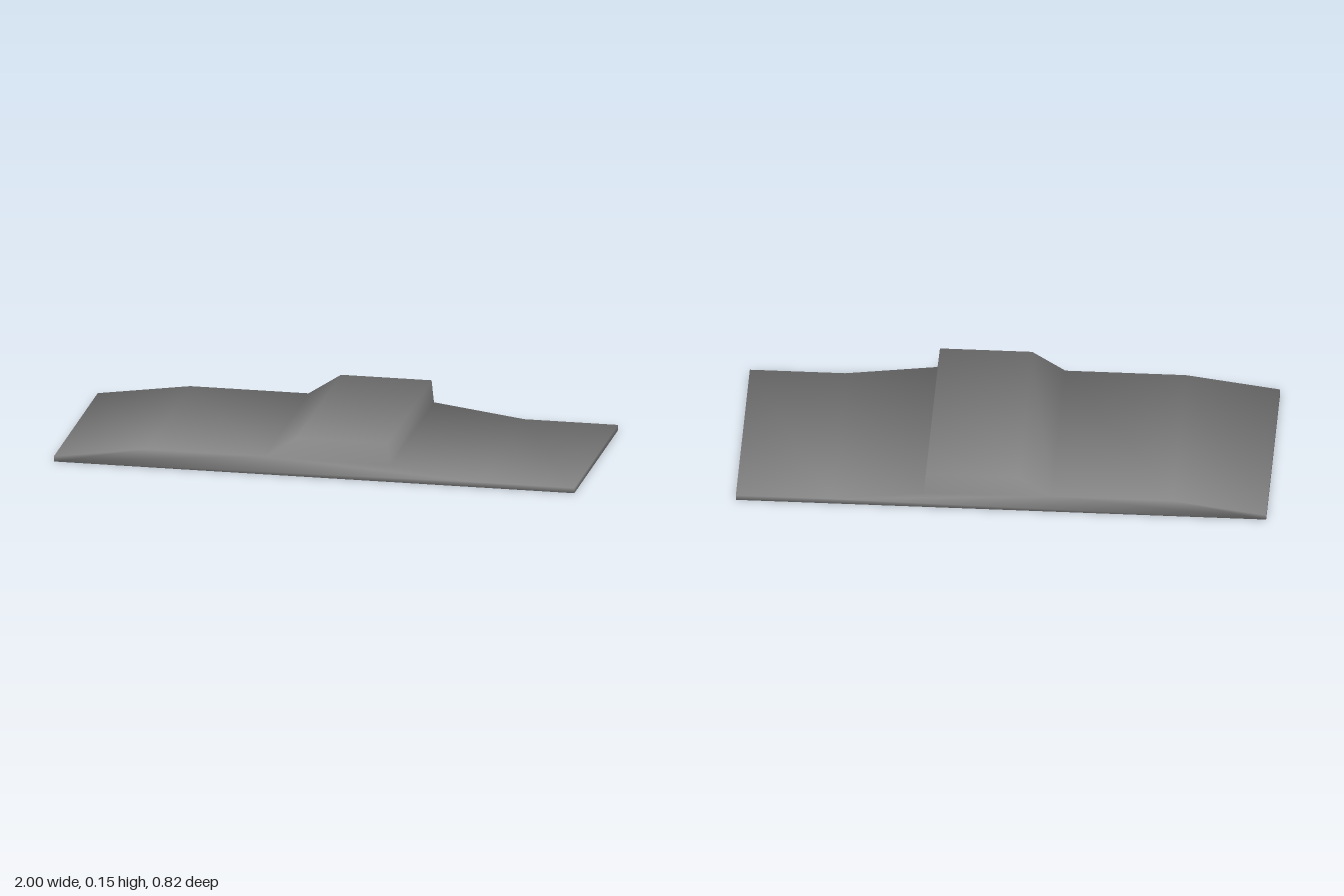
import * as THREE from 'three';
import { mergeVertices } from 'three/addons/utils/BufferGeometryUtils.js';

const WIDTH = 0.82;

// Side outline: low nose, raised cabin block, sloping tail
const OUTLINE = [
  [-1, 0], [1, 0], [1, 0.02], [0.64, 0.02], [0.292, 0.065],
  [0.283, 0.151], [-0.065, 0.151], [-0.19, 0.07], [-0.645, 0.07], [-1, 0.02],
];

// Smooth normals, each face counting by the angle it fills at the corner
function setAngleWeightedNormals(geometry) {
  const position = geometry.attributes.position;
  const index = geometry.index;
  const points = Array.from({ length: position.count },
    (_, i) => new THREE.Vector3().fromBufferAttribute(position, i));
  const normals = points.map(() => new THREE.Vector3());
  const faceNormal = new THREE.Vector3();
  for (let i = 0; i < index.count; i += 3) {
    const corners = [0, 1, 2].map((k) => index.getX(i + k));
    new THREE.Triangle(...corners.map((c) => points[c])).getNormal(faceNormal);
    corners.forEach((c, k) => {
      const toNext = points[corners[(k + 1) % 3]].clone().sub(points[c]);
      const toLast = points[corners[(k + 2) % 3]].clone().sub(points[c]);
      normals[c].addScaledVector(faceNormal, toNext.angleTo(toLast));
    });
  }
  const values = normals.flatMap((n) => n.normalize().toArray());
  geometry.setAttribute('normal', new THREE.Float32BufferAttribute(values, 3));
}

export function createModel() {
  const group = new THREE.Group();
  group.name = 'wedgeBody';

  const shape = new THREE.Shape(OUTLINE.map(([x, y]) => new THREE.Vector2(x, y)));
  let geometry = new THREE.ExtrudeGeometry(shape, { depth: WIDTH, bevelEnabled: false });
  geometry.translate(0, 0, -WIDTH / 2);

  // Share the corners so that shading runs smoothly over every edge
  geometry.deleteAttribute('normal');
  geometry.deleteAttribute('uv');
  geometry = mergeVertices(geometry, 1e-4);
  setAngleWeightedNormals(geometry);

  const body = new THREE.Mesh(geometry, new THREE.MeshStandardMaterial({ color: 0x848484 }));
  body.name = 'body';
  group.add(body);
  return group;
}
